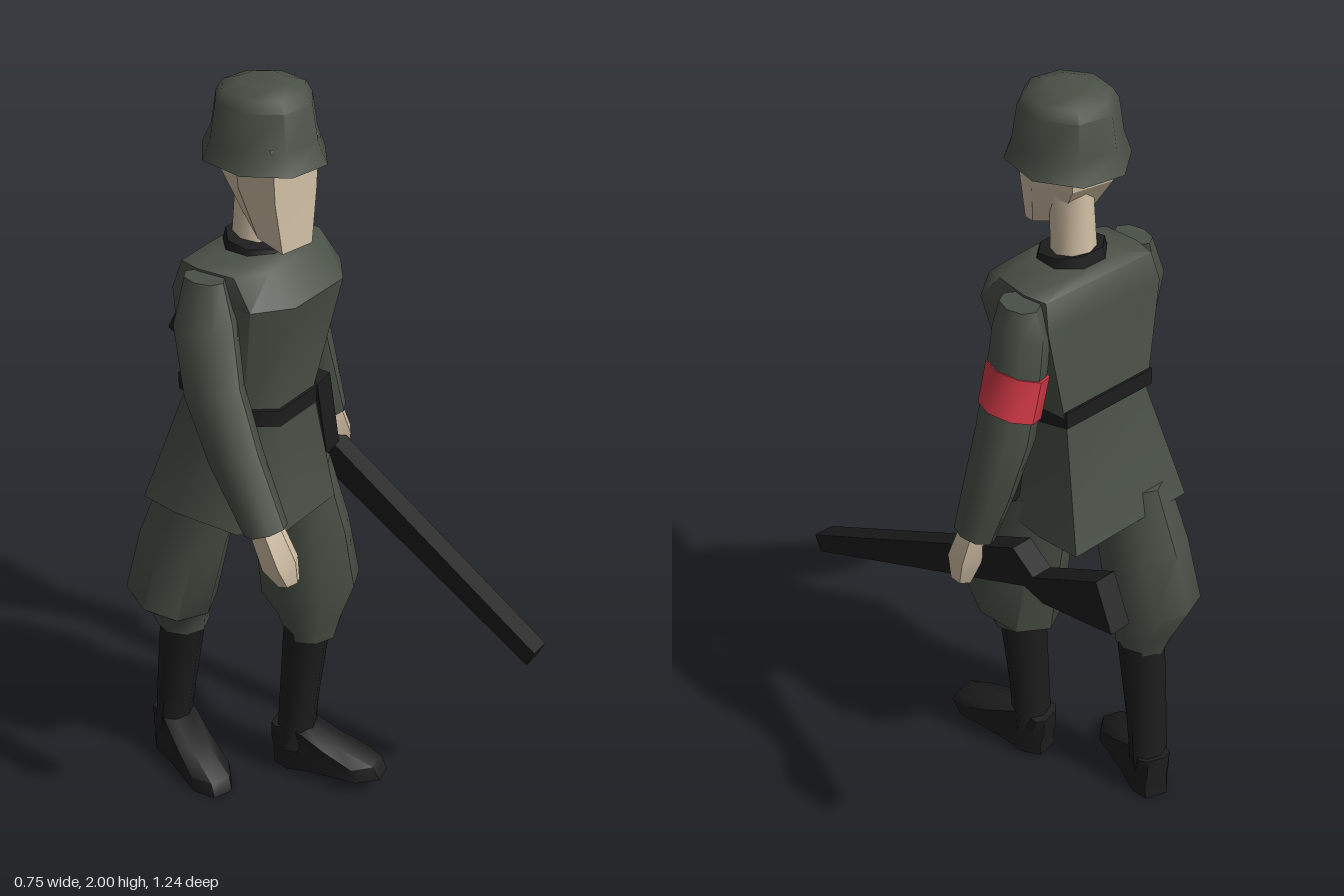
import * as THREE from 'three';
import { toCreasedNormals } from 'three/addons/utils/BufferGeometryUtils.js';

const mat = (color) => new THREE.MeshStandardMaterial({ color, roughness: 0.9 });
const cloth = mat(0x495046), black = mat(0x1d1d1d), skin = mat(0xd2c0a6), red = mat(0xcf3845);

// Cross-section outlines, [x, z], from the front round by +x to the back
const polygon = (n, start = 0) => Array.from({ length: n }, (_, i) => {
  const a = start + (i / n) * Math.PI * 2;
  return [Math.sin(a), Math.cos(a)];
});
const mirrored = (half) => [...half, ...half.map(([x, z]) => [-x, z]).reverse()];
const OCT = polygon(8, Math.PI / 8).map(([x, z]) => [x * 1.08, z * 1.08]);
const LIMB = polygon(8);
const BODY = mirrored([[0.5, 1], [0.95, 0.55], [1, -0.4], [0.93, -1]]);
const FACE = mirrored([[0.72, 1], [1, 0.1], [0.6, -1]]);
const SOLE = mirrored([[0.45, 1], [0.95, 0.65], [0.8, -0.2], [0.85, -0.7], [0.5, -1]]);

// Skin over rings listed bottom to top: [x, y, z, halfWidth, halfDepth, slopeX, slopeZ]
function loft(name, material, outline, rings, crease = 0.85) {
  const pos = [], idx = [], n = outline.length;
  for (const [cx, cy, cz, rx, rz, sx = 0, sz = 0] of rings)
    for (const [u, v] of outline) pos.push(cx + u * rx, cy + u * rx * sx + v * rz * sz, cz + v * rz);
  for (let r = 0; r < rings.length - 1; r++)
    for (let i = 0; i < n; i++) {
      const a = r * n + i, b = r * n + (i + 1) % n;
      idx.push(a, b, b + n, a, b + n, a + n);
    }
  const top = (rings.length - 1) * n;
  for (let i = 1; i < n - 1; i++) idx.push(0, i + 1, i, top, top + i, top + i + 1);
  const g = new THREE.BufferGeometry();
  g.setAttribute('position', new THREE.Float32BufferAttribute(pos, 3));
  g.setIndex(idx);
  const mesh = new THREE.Mesh(toCreasedNormals(g, crease), material);
  mesh.name = name;
  return mesh;
}

function group(name, ...parts) {
  const g = new THREE.Group();
  g.name = name;
  g.add(...parts);
  return g;
}

// Helmet, wedge-shaped face and neck, turned a little to the right
function head() {
  const g = group('head',
    loft('helmet', cloth, OCT, [
      [0, 1.825, -0.005, 0.133, 0.15], [0, 1.875, -0.005, 0.118, 0.125],
      [0, 1.96, -0.005, 0.106, 0.112], [0, 1.985, -0.005, 0.092, 0.095], [0, 2, -0.005, 0.05, 0.055]]),
    loft('face', skin, FACE, [
      [0, 1.65, 0.035, 0.065, 0.07, 0, -0.4], [0, 1.77, -0.005, 0.09, 0.105, 0, -0.2],
      [0, 1.88, -0.008, 0.1, 0.107]], 0.3));
  g.position.set(-0.055, 0, -0.01);
  g.rotation.y = -0.18;
  return g;
}

function torso() {
  return group('torso',
    loft('neck', skin, LIMB, [[-0.035, 1.57, -0.06, 0.055, 0.055], [-0.03, 1.8, -0.05, 0.05, 0.05]]),
    loft('collar', black, OCT, [
      [-0.04, 1.56, -0.045, 0.09, 0.085], [-0.04, 1.608, -0.045, 0.078, 0.07, 0, -0.15]]),
    loft('tunic', cloth, BODY, [
      [-0.048, 0.9, -0.07, 0.2, 0.19], [-0.045, 1.2, -0.05, 0.142, 0.12],
      [-0.03, 1.5, -0.022, 0.19, 0.148], [-0.03, 1.57, -0.05, 0.178, 0.1], [-0.04, 1.59, -0.05, 0.09, 0.08]]),
    loft('belt', black, BODY, [
      [-0.045, 1.19, -0.05, 0.15, 0.128, 0, -0.2], [-0.045, 1.235, -0.05, 0.15, 0.128, 0, -0.2]]));
}

// Sleeves, cuffs and hands
function rightArm() {
  return group('rightArm',
    loft('rightSleeve', cloth, LIMB, [
      [-0.328, 1.025, 0.19, 0.05, 0.052, 0, 0.4], [-0.31, 1.18, 0.09, 0.06, 0.065, 0, 0.4],
      [-0.285, 1.32, 0.01, 0.064, 0.075, 0, 0.3], [-0.245, 1.47, -0.045, 0.066, 0.08, 0.2, 0.1],
      [-0.225, 1.565, -0.06, 0.037, 0.055]]),
    loft('rightHand', skin, polygon(6), [
      [-0.325, 0.9, 0.255, 0.028, 0.024, 0, 0.4], [-0.33, 0.95, 0.232, 0.046, 0.045, 0, 0.4],
      [-0.328, 1.04, 0.185, 0.04, 0.04, 0, 0.4]]));
}

function leftArm() {
  return group('leftArm',
    loft('leftSleeve', cloth, LIMB, [
      [0.307, 0.965, -0.085, 0.045, 0.055, 0.25, 0.1], [0.282, 1.1, -0.112, 0.055, 0.068, 0.25],
      [0.24, 1.25, -0.125, 0.064, 0.075, 0.3], [0.19, 1.42, -0.115, 0.062, 0.075, 0.35],
      [0.175, 1.5, -0.11, 0.06, 0.073, 0.2], [0.17, 1.565, -0.1, 0.04, 0.055]]),
    loft('armband', red, LIMB, [
      [0.224, 1.305, -0.122, 0.067, 0.08, 0.35], [0.193, 1.405, -0.117, 0.067, 0.08, 0.35]]),
    loft('leftHand', skin, polygon(6), [
      [0.335, 0.83, -0.065, 0.024, 0.032], [0.322, 0.9, -0.07, 0.042, 0.053],
      [0.307, 0.98, -0.085, 0.036, 0.045]]));
}

// Wide breeches gathered at the knee, boot shaft and foot
function leg(side, breeches, shaft, foot, pitch, yaw) {
  const shoe = loft(side + 'Foot', black, SOLE, [
    [0, 0, 0.1, 0.062, 0.155], [0, 0.04, 0.095, 0.063, 0.145],
    [0, 0.08, 0.045, 0.057, 0.1], [0, 0.13, 0, 0.052, 0.05]]);
  shoe.position.set(...foot);
  shoe.rotation.set(pitch, yaw, 0, 'YXZ');
  return group(side + 'Leg',
    loft(side + 'Breeches', cloth, LIMB, breeches),
    loft(side + 'Boot', black, LIMB, shaft), shoe);
}

// Side profile extruded across, then swung so the stock sits further out
function rifle() {
  const profile = [[0.62, 0.52], [0.6, 0.475], [-0.285, 0.935], [-0.36, 0.935], [-0.62, 1.03],
    [-0.56, 1.14], [-0.32, 0.985], [-0.24, 1.02]];
  const shape = new THREE.Shape(profile.map(([z, y]) => new THREE.Vector2(z, y)));
  const g = new THREE.ExtrudeGeometry(shape, { depth: 0.056, bevelEnabled: false });
  g.rotateY(-Math.PI / 2);
  const p = g.attributes.position;
  for (let i = 0; i < p.count; i++) {
    const z = p.getZ(i);
    p.setX(i, p.getX(i) + 0.312 - 0.045 * z + Math.max(0, -0.25 - z) * 0.08);
  }
  g.computeVertexNormals();
  const mesh = new THREE.Mesh(g, black);
  mesh.name = 'rifle';
  return mesh;
}

export function createModel() {
  const model = group('soldier', head(), torso(), rightArm(), leftArm(), rifle());
  model.add(
    leg('left',
      [[0.05, 0.46, 0.055, 0.072, 0.07], [0.057, 0.515, 0.05, 0.085, 0.09, 0, 0.15],
        [0.085, 0.58, 0.025, 0.118, 0.137, 0, 0.28], [0.075, 0.78, 0, 0.106, 0.138],
        [0.06, 0.96, -0.03, 0.09, 0.12]],
      [[0.032, 0.08, 0.02, 0.055, 0.05], [0.036, 0.22, 0.025, 0.054, 0.053], [0.04, 0.48, 0.048, 0.064, 0.062]],
      [0.035, 0.018, 0.022], -0.12, 0.2),
    leg('right',
      [[-0.12, 0.46, -0.24, 0.068, 0.07], [-0.125, 0.52, -0.245, 0.08, 0.085],
        [-0.155, 0.58, -0.245, 0.118, 0.118, 0, -0.25], [-0.145, 0.78, -0.2, 0.11, 0.125],
        [-0.135, 0.96, -0.14, 0.095, 0.12]],
      [[-0.1, 0.08, -0.3, 0.054, 0.045], [-0.105, 0.22, -0.282, 0.054, 0.052], [-0.11, 0.48, -0.245, 0.062, 0.062]],
      [-0.1, 0, -0.3], 0, -0.36));

  // Case hanging from the belt on the left hip
  const pouch = new THREE.Mesh(new THREE.BoxGeometry(0.055, 0.225, 0.095), black);
  pouch.name = 'beltCase';
  pouch.position.set(0.132, 1.07, -0.005);
  pouch.rotation.z = 0.2;
  model.add(pouch);
  return model;
}
